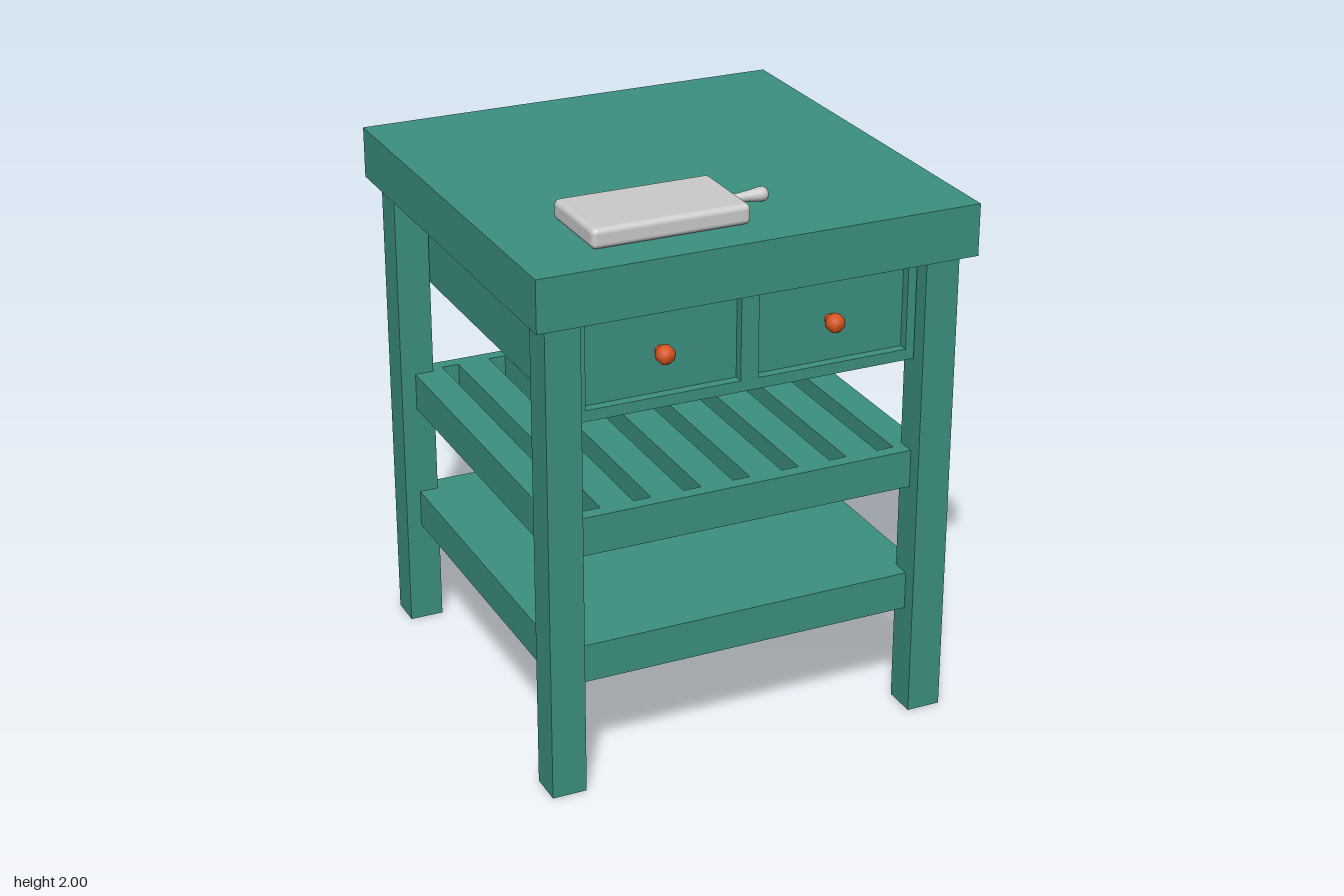
import * as THREE from 'three';
import { RoundedBoxGeometry } from 'three/addons/geometries/RoundedBoxGeometry.js';

const paint = new THREE.MeshStandardMaterial({ color: 0x3c9080 });
const knobPaint = new THREE.MeshStandardMaterial({ color: 0xd9541e });
const grey = new THREE.MeshStandardMaterial({ color: 0xcccccc });

function add(parent, name, geometry, material, x = 0, y = 0, z = 0) {
  const mesh = new THREE.Mesh(geometry, material);
  mesh.name = name;
  mesh.position.set(x, y, z);
  parent.add(mesh);
  return mesh;
}

// Flat slab of w x h, extruded along +z, with rectangular holes [cx, cy, w, h]
function slab(w, h, depth, holes) {
  const rect = (path, cx, cy, a, b) => path
    .moveTo(cx - a / 2, cy - b / 2).lineTo(cx + a / 2, cy - b / 2)
    .lineTo(cx + a / 2, cy + b / 2).lineTo(cx - a / 2, cy + b / 2).closePath();
  const shape = rect(new THREE.Shape(), 0, 0, w, h);
  for (const o of holes) shape.holes.push(rect(new THREE.Path(), ...o));
  return new THREE.ExtrudeGeometry(shape, { depth, bevelEnabled: false });
}

const lathe = (points, segments) =>
  new THREE.LatheGeometry(points.map(([r, y]) => new THREE.Vector2(r, y)), segments);

export function createModel() {
  const model = new THREE.Group();
  model.name = 'kitchenTrolley';

  // Thick top and four square legs
  add(model, 'tableTop', new THREE.BoxGeometry(1.6, 0.186, 1.6), paint, 0, 1.835, 0);
  const legs = new THREE.Group();
  legs.name = 'legs';
  model.add(legs);
  for (const x of [-1, 1]) for (const z of [-1, 1]) {
    add(legs, 'leg', new THREE.BoxGeometry(0.125, 1.742, 0.125), paint, x * 0.6925, 0.871, z * 0.6925);
  }

  // Drawer case: solid body behind a frame that leaves two recessed drawer fronts
  const drawers = new THREE.Group();
  drawers.name = 'drawerCase';
  model.add(drawers);
  add(drawers, 'caseBody', new THREE.BoxGeometry(1.25, 0.375, 1.365), paint, 0, 1.5475, -0.0175);
  const openings = [-1, 1].map(s => [s * 0.3125, 0.0025, 0.56, 0.3]);
  add(drawers, 'drawerFrame', slab(1.25, 0.375, 0.035, openings), paint, 0, 1.5475, 0.665);

  // Turned knobs
  for (const s of [-1, 1]) {
    const knob = add(drawers, 'drawerKnob', lathe([
      [0.018, 0], [0.018, 0.02], [0.033, 0.032], [0.033, 0.055], [0.022, 0.07], [0, 0.073],
    ], 12), knobPaint, s * 0.3125, 1.55, 0.665);
    knob.rotation.x = Math.PI / 2;
  }

  // Slatted middle shelf: slots run front to back
  const slots = [];
  for (let i = -3; i <= 3; i++) slots.push([i * 0.185, 0, 0.065, 1.3]);
  const slatted = add(model, 'slattedShelf', slab(1.4, 1.4, 0.14, slots), paint, 0, 0.872, 0);
  slatted.rotation.x = -Math.PI / 2;

  // Solid lower shelf
  add(model, 'lowerShelf', new THREE.BoxGeometry(1.4, 0.14, 1.4), paint, 0, 0.462, 0);

  // Chopping board with a flared handle
  const board = new THREE.Group();
  board.name = 'choppingBoard';
  model.add(board);
  add(board, 'boardBlock', new RoundedBoxGeometry(0.565, 0.072, 0.325, 4, 0.02), grey, -0.26, 1.964, 0.493);
  const handle = add(board, 'boardHandle', lathe([
    [0.014, 0], [0.015, 0.04], [0.02, 0.09], [0.025, 0.125],
    [0.025, 0.14], [0.019, 0.151], [0, 0.155],
  ], 20), grey, 0.015, 1.955, 0.475);
  handle.rotation.z = -Math.PI / 2;

  return model;
}
